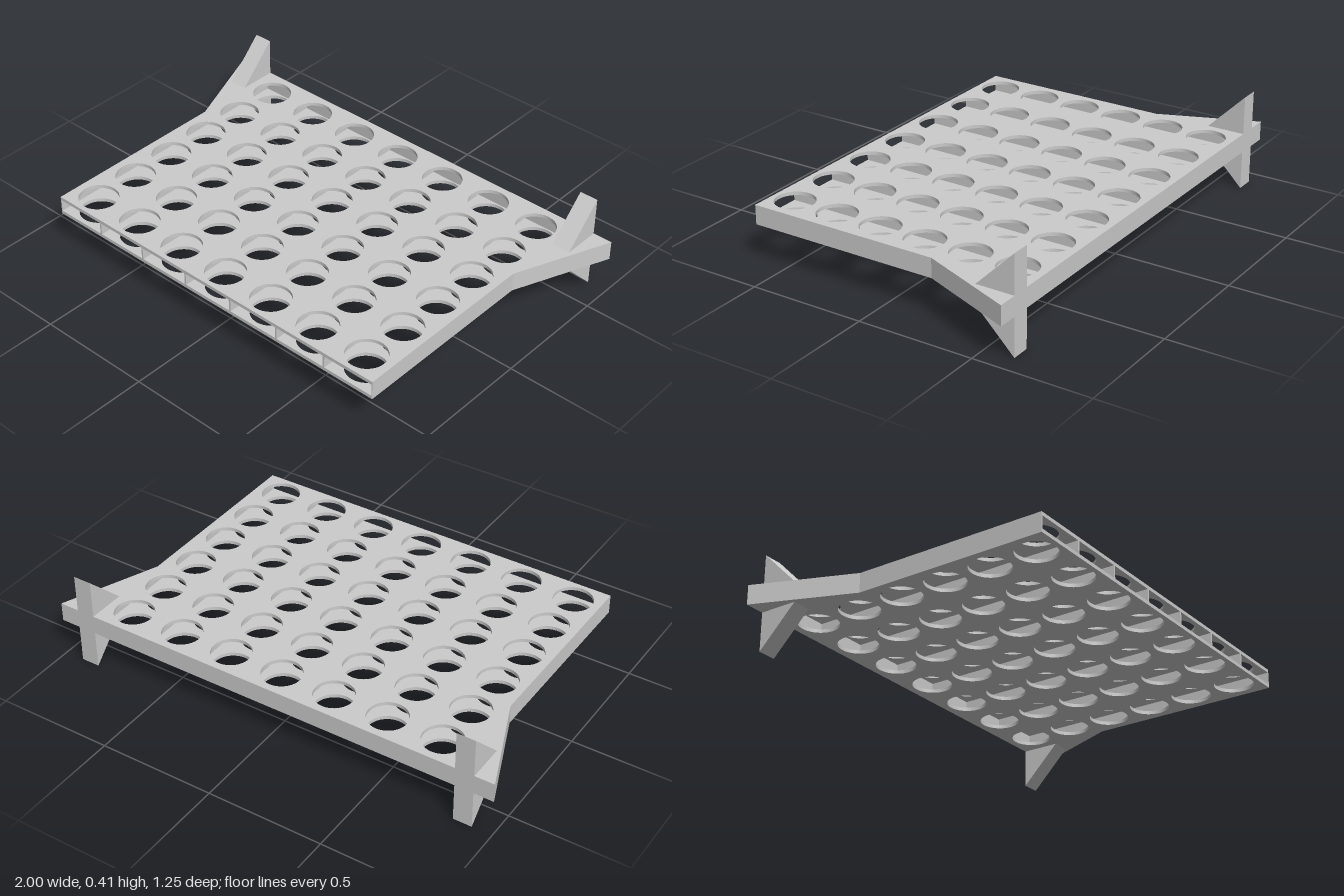
import * as THREE from 'three';

const TOP = 0.25, BOTTOM = 0.167, SKIN = 0.015;
const BACK = -0.625, FRONT = 0.622, SIDE = 0.833;
const COLS = 7, ROWS = 6, PITCH_X = 0.239, PITCH_Z = 0.206, HOLE_R = 0.083;

const material = new THREE.MeshStandardMaterial({ color: 0xcccccc, flatShading: true });

function add(group, name, geometry, x = 0, y = 0, z = 0) {
  const mesh = new THREE.Mesh(geometry, material);
  mesh.name = name;
  mesh.position.set(x, y, z);
  group.add(mesh);
}

// Extrude a plan outline (x, z) downwards from y = 0
function slab(shape, depth) {
  return new THREE.ExtrudeGeometry(shape, { depth, bevelEnabled: false, curveSegments: 32 })
    .rotateX(Math.PI / 2);
}

const polygon = (points) => new THREE.Shape(points.map(([x, y]) => new THREE.Vector2(x, y)));

export function createModel() {
  const model = new THREE.Group();
  model.name = 'perforatedTray';
  const midY = (TOP + BOTTOM) / 2;
  const coreHeight = TOP - BOTTOM - 2 * SKIN;

  // Perforated skins, flared into wings at the back
  const outline = polygon([
    [-1, BACK], [1, BACK], [SIDE, -0.21], [SIDE, FRONT], [-SIDE, FRONT], [-SIDE, -0.21],
  ]);
  for (let c = 0; c < COLS; c++) {
    for (let r = 0; r < ROWS; r++) {
      const hole = new THREE.Path();
      hole.absarc((c - (COLS - 1) / 2) * PITCH_X, 0.004 + (r - (ROWS - 1) / 2) * PITCH_Z,
        HOLE_R, 0, Math.PI * 2, true);
      outline.holes.push(hole);
    }
  }
  const skin = slab(outline, SKIN);
  add(model, 'topSkin', skin, 0, TOP);
  add(model, 'bottomSkin', skin, 0, BOTTOM + SKIN);

  // Thin ribs between the channels, which stay open at the front
  const length = FRONT - BACK;
  const rib = new THREE.BoxGeometry(0.008, coreHeight, length);
  for (let i = 1; i < COLS; i++) {
    add(model, 'rib', rib, (i - COLS / 2) * PITCH_X, midY, (FRONT + BACK) / 2);
  }
  add(model, 'backWall', new THREE.BoxGeometry(2 * SIDE, coreHeight, 0.025), 0, midY, BACK + 0.0125);

  const outerWall = new THREE.BoxGeometry(0.004, coreHeight, length);
  const gusset = polygon([[BACK, 0], [-0.46, 0], [BACK, 0.165]]);
  for (const s of [-1, 1]) {
    add(model, 'outerWall', outerWall, s * (SIDE - 0.002), midY, (FRONT + BACK) / 2);

    // Solid wing core
    const wing = polygon([[s * SIDE, BACK], [s, BACK], [s * SIDE, -0.21]]);
    add(model, 'wingCore', slab(wing, coreHeight), 0, TOP - SKIN);

    // Triangular brackets above and below each wing
    const bracket = new THREE.ExtrudeGeometry(gusset, { depth: 0.08, bevelEnabled: false })
      .rotateY(-Math.PI / 2).translate(0.04, 0, 0);
    add(model, 'upperBracket', bracket, s * 0.875, TOP);
    const lower = bracket.clone().rotateZ(Math.PI);
    add(model, 'lowerBracket', lower, s * 0.875, BOTTOM + 0.000);
  }
  return model;
}
